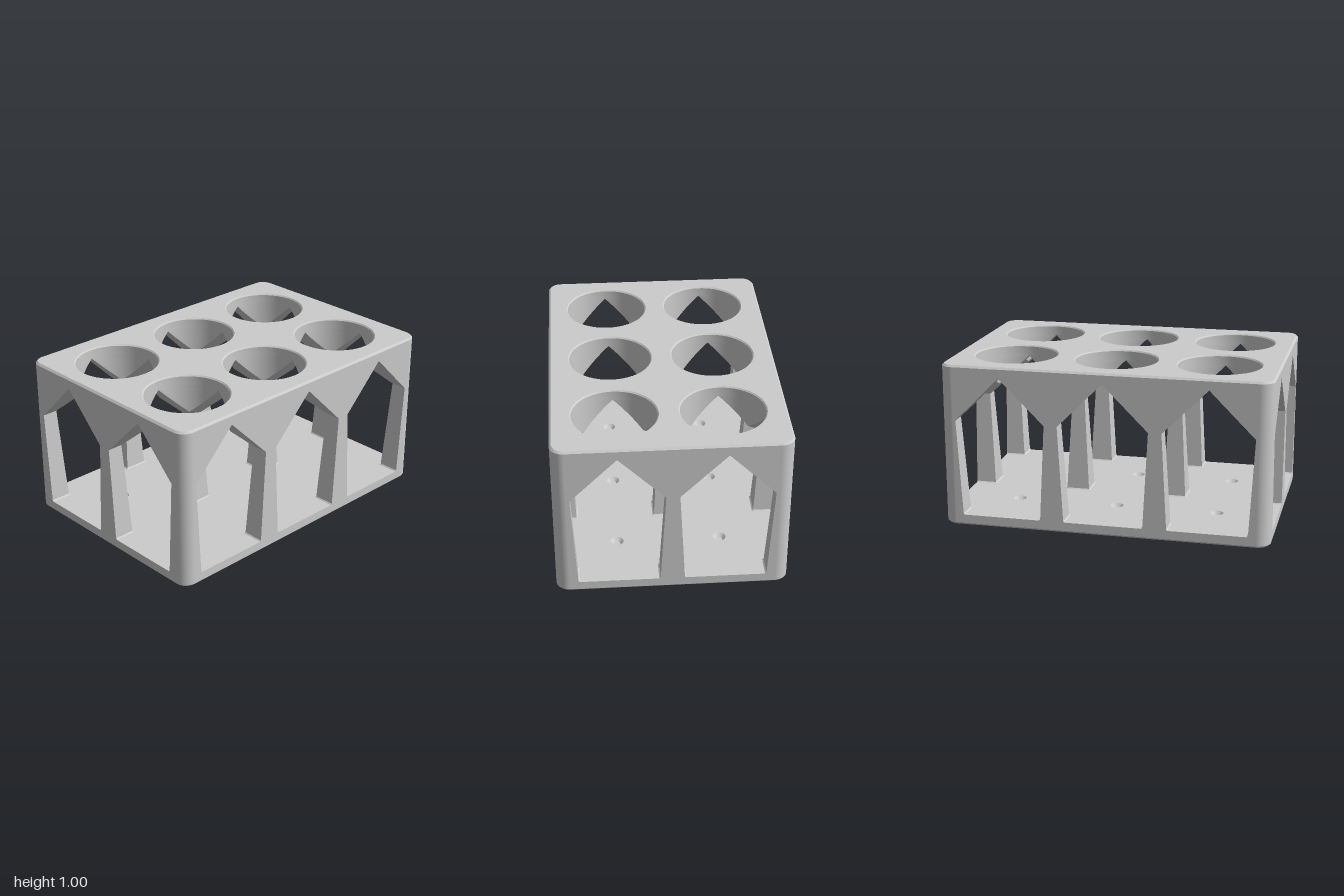
import * as THREE from 'three';
import { toCreasedNormals } from 'three/addons/utils/BufferGeometryUtils.js';

const HW = 1, HD = 0.69, H = 1;            // half width, half depth, height
const CORNER = 0.08, CHAMFER = 0.012;
const PITCH = 0.63, FLOOR = 0.065, APEX = 0.935;
const BORE = 0.25, LIP = 0.008, PIT = 0.04;
const COLS = [-PITCH, 0, PITCH], ROWS = [-PITCH / 2, PITCH / 2];

// Half width of the gabled opening at each height, from floor to shoulder
const JAMB = [[0.235, FLOOR], [0.243, FLOOR + 0.007], [0.275, 0.66]];

const material = new THREE.MeshStandardMaterial({ color: 0xcccccc });

function add(parent, name, geometry) {
  const mesh = new THREE.Mesh(geometry, material);
  mesh.name = name;
  parent.add(mesh);
  return mesh;
}

// Skin between rows of Vector3, rows running upwards
function loft(rows, flip) {
  const pos = [];
  const tri = (a, b, c) => {
    const area = b.clone().sub(a).cross(c.clone().sub(a)).length();
    if (area < 1e-9) return;
    for (const p of flip ? [a, c, b] : [a, b, c]) pos.push(p.x, p.y, p.z);
  };
  for (let j = 0; j < rows.length - 1; j++) {
    for (let i = 0; i < rows[j].length - 1; i++) {
      const a = rows[j][i], b = rows[j][i + 1], c = rows[j + 1][i + 1], d = rows[j + 1][i];
      tri(a, b, c);
      tri(a, c, d);
    }
  }
  const g = new THREE.BufferGeometry();
  g.setAttribute('position', new THREE.Float32BufferAttribute(pos, 3));
  return toCreasedNormals(g, 0.5);
}

// Rounded rectangle outline of the block, moved inwards by inset
function outline(inset) {
  const pts = [], n = 10;
  for (let k = 0; k < 4; k++) {
    const sx = k === 0 || k === 3 ? 1 : -1, sz = k < 2 ? 1 : -1;
    for (let i = 0; i <= n; i++) {
      const a = (k + i / n) * Math.PI / 2, r = CORNER - inset;
      pts.push(new THREE.Vector2(sx * (HW - CORNER) + r * Math.cos(a), sz * (HD - CORNER) + r * Math.sin(a)));
    }
  }
  return pts;
}

// Horizontal plate outline with a round hole in every cell
function plate(inset, holeRadius) {
  const shape = new THREE.Shape(outline(inset));
  if (holeRadius) {
    for (const x of COLS) for (const z of ROWS) {
      shape.holes.push(new THREE.Path().absarc(x, z, holeRadius, 0, Math.PI * 2));
    }
  }
  return new THREE.ShapeGeometry(shape, 24);
}

// Flat outer wall with gabled openings
function wall(half, centres) {
  const y0 = CHAMFER, y1 = H - CHAMFER;
  const shape = new THREE.Shape([[-half, y0], [half, y0], [half, y1], [-half, y1]].map(p => new THREE.Vector2(...p)));
  for (const c of centres) {
    const right = JAMB.map(([w, y]) => new THREE.Vector2(c + w, y));
    const left = JAMB.map(([w, y]) => new THREE.Vector2(c - w, y)).reverse();
    shape.holes.push(new THREE.Path([...right, new THREE.Vector2(c, APEX), ...left]));
  }
  return new THREE.ShapeGeometry(shape);
}

// One corner of a cell: pillar faces, sloping vault and the bore cut through them
function cellCorner(cx, cz, sx, sz) {
  const endX = HW - Math.abs(cx) < PITCH && cx * sx > 0 ? HW - Math.abs(cx) : PITCH / 2;
  const endZ = cz * sz > 0 ? HD - Math.abs(cz) : PITCH / 2;
  const levels = [...JAMB];
  for (let k = 12; k >= 0; k--) {
    const w = BORE * Math.sin(k / 12 * Math.PI / 4);
    levels.push([w, APEX - w]);
  }
  const rows = levels.map(([w, y]) => {
    const a = Math.min(Math.asin(Math.min(1, w / BORE)), Math.PI / 4);
    const r = Math.max(BORE, w * Math.SQRT2);
    const path = [[endX, w]];
    for (let i = 0; i <= 12; i++) {
      const t = a + (Math.PI / 2 - 2 * a) * i / 12;
      path.push([r * Math.cos(t), r * Math.sin(t)]);
    }
    path.push([w, endZ]);
    return path.map(([x, z]) => new THREE.Vector3(cx + sx * x, y, cz + sz * z));
  });
  return loft(rows, sx * sz < 0);
}

export function createModel() {
  const model = new THREE.Group();
  model.name = 'sixHoleRack';

  // Horizontal surfaces
  add(model, 'topPlate', plate(CHAMFER, BORE + LIP).rotateX(-Math.PI / 2)).position.y = H;
  add(model, 'floor', plate(0, PIT).rotateX(-Math.PI / 2)).position.y = FLOOR;
  add(model, 'underside', plate(CHAMFER).rotateX(Math.PI / 2));

  // Chamfered rims
  const ring = (inset, y) => {
    const p = outline(inset);
    return [...p, p[0]].map(v => new THREE.Vector3(v.x, y, v.y));
  };
  add(model, 'bottomChamfer', loft([ring(CHAMFER, 0), ring(0, CHAMFER)], true));
  add(model, 'topChamfer', loft([ring(0, H - CHAMFER), ring(CHAMFER, H)], true));

  // Outer walls and rounded vertical corners
  for (let k = 0; k < 4; k++) {
    const long = k % 2 === 0, turn = k * Math.PI / 2;
    const g = long ? wall(HW - CORNER, COLS) : wall(HD - CORNER, ROWS);
    g.translate(0, 0, long ? HD : HW).rotateY(turn);
    add(model, ['frontWall', 'leftWall', 'backWall', 'rightWall'][k], g);
    const corner = new THREE.CylinderGeometry(CORNER, CORNER, H - 2 * CHAMFER, 10, 1, true, turn, Math.PI / 2);
    add(model, 'roundedCorner', corner).position.set(
      (k < 2 ? 1 : -1) * (HW - CORNER), H / 2, (k === 0 || k === 3 ? 1 : -1) * (HD - CORNER));
  }

  // Cells: bore collar, pillars with vaults, and a countersunk pit in the floor
  const lathe = pts => toCreasedNormals(new THREE.LatheGeometry(pts.map(p => new THREE.Vector2(...p)), 48), 0.5);
  for (const x of COLS) for (const z of ROWS) {
    const cell = new THREE.Group();
    cell.name = 'cell';
    model.add(cell);
    add(cell, 'boreCollar', lathe([[BORE + LIP, H], [BORE, H - LIP], [BORE, APEX]])).position.set(x, 0, z);
    add(cell, 'drainPit', lathe([[PIT, FLOOR], [0.02, FLOOR - 0.02], [0, FLOOR - 0.02]])).position.set(x, 0, z);
    for (const sx of [1, -1]) for (const sz of [1, -1]) {
      add(cell, 'pillarAndVault', cellCorner(x, z, sx, sz));
    }
  }
  return model;
}
